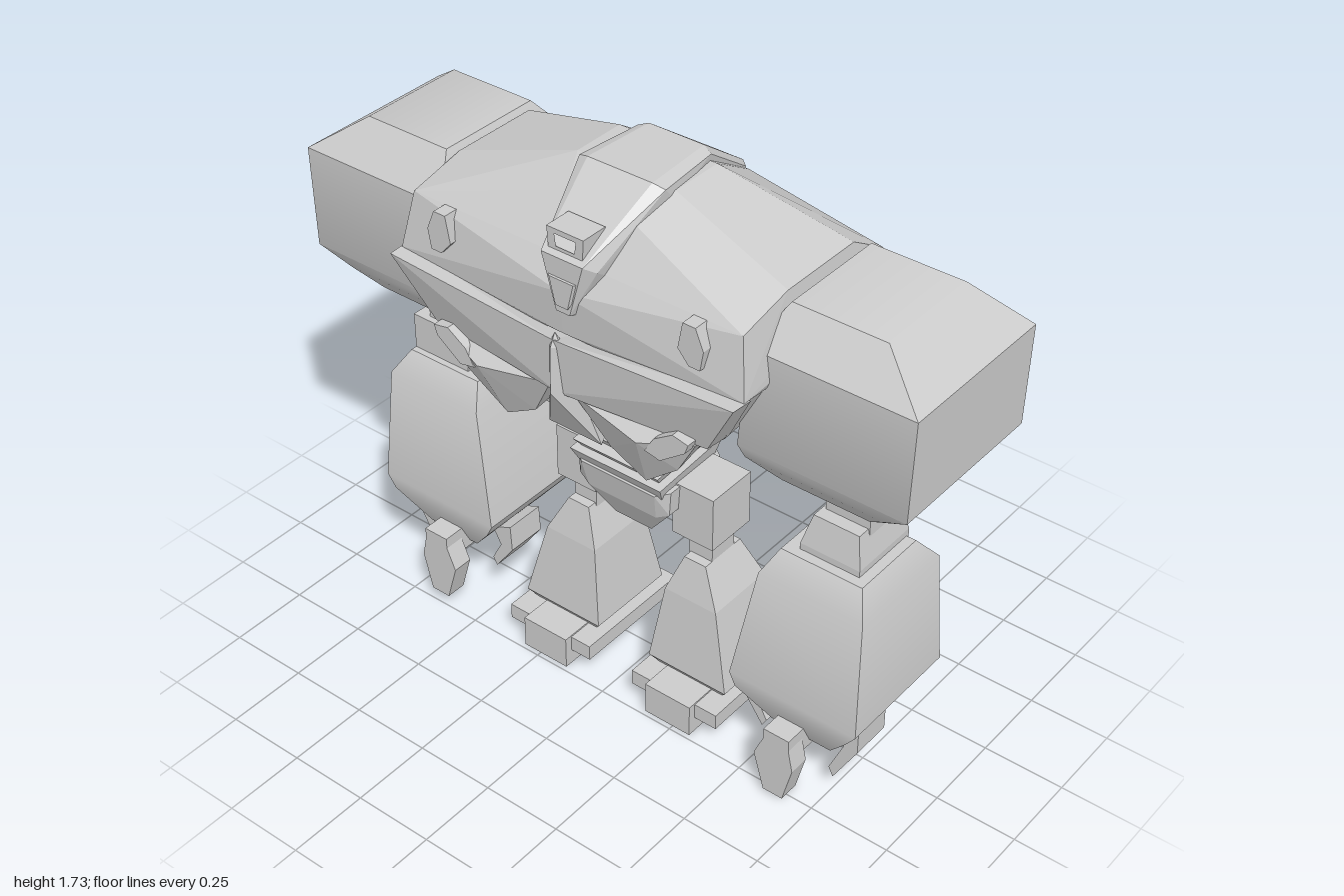
import * as THREE from 'three';
import { ConvexGeometry } from 'three/addons/geometries/ConvexGeometry.js';
import { toCreasedNormals } from 'three/addons/utils/BufferGeometryUtils.js';

const flat = new THREE.MeshStandardMaterial({ color: 0xcccccc, flatShading: true });
const smooth = new THREE.MeshStandardMaterial({ color: 0xcccccc });

function add(parent, name, geometry, material = flat) {
  const mesh = new THREE.Mesh(geometry, material);
  mesh.name = name;
  parent.add(mesh);
  return mesh;
}

// Convex solid through points; side = -1 mirrors it in x
const hull = (points, side = 1) =>
  new ConvexGeometry(points.map(([x, y, z]) => new THREE.Vector3(x * side, y, z)));

// Same, with every point repeated on both sides of x = 0
const symHull = (points) => hull(points.flatMap(([x, y, z]) => (x ? [[x, y, z], [-x, y, z]] : [[x, y, z]])));

// Stack of rectangles [y, x0, x1, z0, z1]
const stack = (rows, side = 1) =>
  hull(rows.flatMap(([y, x0, x1, z0, z1]) => [[x0, y, z0], [x1, y, z0], [x1, y, z1], [x0, y, z1]]), side);

const box = (x0, x1, y0, y1, z0, z1, side = 1) =>
  new THREE.BoxGeometry(x1 - x0, y1 - y0, z1 - z0)
    .translate(side * (x0 + x1) / 2, (y0 + y1) / 2, (z0 + z1) / 2);

// Outline in x, y extruded from z0 to z1
function plate(outline, z0, z1, side = 1, hole) {
  const shape = new THREE.Shape(outline.map(([x, y]) => new THREE.Vector2(x * side, y)));
  if (hole) shape.holes.push(new THREE.Path(hole.map(([x, y]) => new THREE.Vector2(x * side, y))));
  return new THREE.ExtrudeGeometry(shape, { depth: z1 - z0, bevelEnabled: false }).translate(0, 0, z0);
}

function makeTorso() {
  const torso = new THREE.Group();
  torso.name = 'torso';

  // Upper shell: sloping roof, arched sides, back panel
  add(torso, 'upperShell', symHull([
    [0.57, 1.37, 0.37], [0.54, 1.54, 0.34], [0.54, 1.58, 0.16], [0.54, 1.58, -0.12],
    [0.55, 1.51, -0.24], [0.56, 1.39, -0.33], [0.52, 1.3, -0.385], [0.5, 1.25, -0.38],
    [0.16, 1.7, 0.12], [0.16, 1.7, -0.05], [0.1, 1.66, 0.24], [0.1, 1.56, -0.27],
    [0, 1.47, 0.39], [0, 1.34, 0.38], [0.5, 1.3, 0.33],
  ]));

  // Lower shell tapering to the waist
  add(torso, 'lowerShell', symHull([
    [0.56, 1.36, 0.34], [0.46, 1.17, 0.3], [0.24, 0.98, 0.26], [0.1, 0.95, 0.2], [0.1, 0.95, -0.1],
    [0.52, 1.3, -0.37], [0.2, 1.15, -0.37], [0.43, 1.17, -0.22],
  ]));

  for (const side of [1, -1]) {
    // Chest plate, wedge reaching forward from a centre ridge
    add(torso, 'chestPlate', hull([
      [0, 1.34, 0.42], [0, 1.17, 0.41], [0.57, 1.37, 0.415], [0.575, 1.37, 0.35], [0.46, 1.18, 0.37],
      [0.46, 1.17, 0.28], [0, 1.3, 0.3], [0.1, 1.14, 0.33],
    ], side));
    // Pointed lobe under the chest plate
    add(torso, 'chestLobe', hull([
      [0.04, 1.17, 0.39], [0.27, 1.14, 0.42], [0.43, 1.18, 0.38], [0.36, 1.06, 0.36],
      [0.24, 0.955, 0.34], [0.13, 1.02, 0.35], [0.22, 0.96, 0.22], [0.4, 1.16, 0.2], [0.08, 1.1, 0.2],
    ], side));
    // Hexagonal pods on the chest
    add(torso, 'upperPod', plate([
      [0.39, 1.54], [0.43, 1.54], [0.455, 1.48], [0.445, 1.42], [0.41, 1.42], [0.375, 1.46],
    ], 0.33, 0.385, side));
    add(torso, 'lowerPod', plate([
      [0.29, 1.12], [0.34, 1.11], [0.42, 1.17], [0.43, 1.2], [0.38, 1.21], [0.32, 1.17],
    ], 0.34, 0.41, side));
  }
  add(torso, 'chestRidge', symHull([
    [0, 1.36, 0.41], [0.02, 1.32, 0.41], [0, 1.32, 0.43], [0, 1.18, 0.435], [0.03, 1.18, 0.4],
    [0.09, 1, 0.34], [0, 1.04, 0.36], [0.05, 1.03, 0.24],
  ]));

  // Crest running over the roof from nose to back: [y, z, half width]
  const path = [[1.42, 0.385, 0.03], [1.56, 0.37, 0.09], [1.72, 0.16, 0.14], [1.72, -0.05, 0.12], [1.565, -0.27, 0.07]];
  const dirs = [[0, 0.015], [0.02, 0.03], [0.012, 0.01], [0.012, -0.01], [0.01, -0.01]];
  for (let i = 0; i < 4; i++) {
    const pts = [];
    for (const k of [i, i + 1]) {
      const [y, z, w] = path[k], [dy, dz] = dirs[k];
      for (const s of [1, -1]) {
        pts.push([0.02 + s * w, y - dy * 4, z - dz * 4], [0.02 + s * w, y, z], [0.02 + s * w * 0.75, y + dy, z + dz]);
      }
    }
    add(torso, 'crest', hull(pts));
  }
  add(torso, 'crestBrow', plate([[-0.04, 1.65], [0.08, 1.65], [0.075, 1.58], [-0.035, 1.58]],
    0.3, 0.385, 1, [[-0.015, 1.635], [0.055, 1.635], [0.05, 1.6], [-0.01, 1.6]]));
  add(torso, 'crestNose', hull([
    [-0.05, 1.53, 0.38], [0.09, 1.53, 0.38], [-0.02, 1.52, 0.405], [0.06, 1.52, 0.405],
    [0, 1.44, 0.405], [0.04, 1.44, 0.405], [0.02, 1.42, 0.36],
  ]));

  // Vent on the back
  const vent = new THREE.Group();
  vent.name = 'backVent';
  add(vent, 'ventBase', hull([
    [-0.14, 0.13, -0.02], [0.14, 0.13, -0.02], [-0.17, -0.11, -0.02], [0.17, -0.11, -0.02],
    [-0.14, 0.13, 0.08], [0.14, 0.13, 0.08], [-0.17, -0.11, 0.08], [0.17, -0.11, 0.08],
  ]));
  add(vent, 'ventFrame', plate([[-0.1, -0.03], [0.1, -0.03], [0.08, 0.1], [-0.08, 0.1]],
    -0.045, -0.01, 1, [[-0.055, 0], [0.055, 0], [0.045, 0.07], [-0.045, 0.07]]));
  add(vent, 'ventSlat', box(-0.05, 0.05, 0.02, 0.04, -0.035, -0.01));
  vent.position.set(0, 1.27, -0.375);
  vent.rotation.x = -0.08;
  torso.add(vent);
  return torso;
}

function makeWaist() {
  const waist = new THREE.Group();
  waist.name = 'waist';
  add(waist, 'spine', box(-0.1, 0.1, 0.72, 1, -0.06, 0.14));
  // Stacked collars, tilted a little
  const collars = [[0.955, 0.13, 0.035], [0.9, 0.115, 0.04], [0.855, 0.125, 0.035], [0.81, 0.15, 0.03], [0.765, 0.16, 0.05]];
  for (const [y, w, h] of collars) {
    const collar = add(waist, 'collar', stack([
      [-h / 2, -w * 0.92, w * 0.92, -0.12, 0.12], [h / 2, -w, w, -0.14, 0.14]]));
    collar.position.set(0, y, 0.04);
    collar.rotation.x = 0.08;
  }
  add(waist, 'pelvis', stack([
    [0.75, -0.165, 0.165, -0.08, 0.14], [0.74, -0.13, 0.13, -0.11, 0.17],
    [0.67, -0.16, 0.16, -0.08, 0.14], [0.65, -0.12, 0.12, -0.1, 0.15], [0.55, -0.065, 0.065, -0.05, 0.1],
  ]));
  return waist;
}

function makeArm(side) {
  const arm = new THREE.Group();
  arm.name = side > 0 ? 'leftArm' : 'rightArm';

  add(arm, 'shoulder', toCreasedNormals(stack([
    [1.56, 0.56, 0.845, -0.17, 0.17], [1.45, 0.5, 0.998, -0.262, 0.265],
    [1.14, 0.475, 0.99, -0.262, 0.265], [1.08, 0.475, 0.9, -0.22, 0.23], [1.015, 0.56, 0.83, -0.13, 0.18],
  ], side), 0.7), smooth);
  add(arm, 'upperArm', box(0.625, 0.765, 0.85, 1.05, -0.035, 0.07, side));

  // Forearm and hand hang a little further back on the right side
  const lower = new THREE.Group();
  lower.name = 'lowerArm';
  lower.position.z = side > 0 ? 0 : -0.05;
  arm.add(lower);
  add(lower, 'elbow', side > 0
    ? stack([[0.885, 0.615, 0.76, -0.075, 0.11], [0.79, 0.59, 0.78, -0.1, 0.13], [0.75, 0.59, 0.78, -0.1, 0.13]], side)
    : box(0.605, 0.81, 0.75, 0.885, -0.04, 0.14, side));
  add(lower, 'forearm', toCreasedNormals(stack([
    [0.77, 0.55, 0.81, -0.09, 0.16], [0.7, 0.515, 0.85, -0.15, 0.21],
    [0.33, 0.45, 0.87, -0.17, 0.24], [0.29, 0.47, 0.84, -0.17, 0.24], [0.17, 0.57, 0.755, -0.11, 0.18],
  ], side), 0.6), smooth);

  // One broad finger in front, a hooked claw on either side
  add(lower, 'frontFinger', plate([
    [0.6, 0.2], [0.685, 0.2], [0.7, 0.13], [0.67, 0.01], [0.605, 0.01], [0.57, 0.13],
  ], 0.215, 0.28, side));
  add(lower, 'fingerRoot', box(0.6, 0.685, 0.15, 0.235, 0.1, 0.28, side));
  add(lower, 'outerClaw', plate([
    [0.77, 0.26], [0.83, 0.29], [0.83, 0.19], [0.755, 0.055], [0.74, 0.085], [0.785, 0.19],
  ], 0.03, 0.16, side));
  add(lower, 'innerClaw', plate([
    [0.52, 0.25], [0.45, 0.28], [0.445, 0.195], [0.51, 0.105], [0.525, 0.13], [0.49, 0.195],
  ], 0.03, 0.16, side));

  if (side < 0) arm.position.set(0, 0.03, 0.02);
  return arm;
}

function makeLeg(side) {
  const leg = new THREE.Group();
  leg.name = side > 0 ? 'leftLeg' : 'rightLeg';
  add(leg, 'hip', box(0.14, 0.28, 0.58, 0.755, -0.07, 0.1, side));
  add(leg, 'knee', box(0.17, 0.25, 0.48, 0.6, -0.04, 0.06, side));
  add(leg, 'shin', stack([
    [0.5, 0.175, 0.25, -0.07, 0.09], [0.38, 0.13, 0.31, -0.11, 0.12],
    [0.13, 0.095, 0.37, -0.15, 0.15], [0.1, 0.12, 0.345, -0.13, 0.13],
  ], side));
  add(leg, 'sole', box(0.15, 0.31, 0, 0.105, -0.2, 0.235, side));
  for (const x of [0.08, 0.3]) add(leg, 'footRail', box(x, x + 0.085, 0.05, 0.1, -0.2, 0.21, side));
  return leg;
}

export function createModel() {
  const model = new THREE.Group();
  model.name = 'robot';
  model.add(makeTorso(), makeWaist());
  for (const side of [1, -1]) model.add(makeArm(side), makeLeg(side));
  return model;
}
